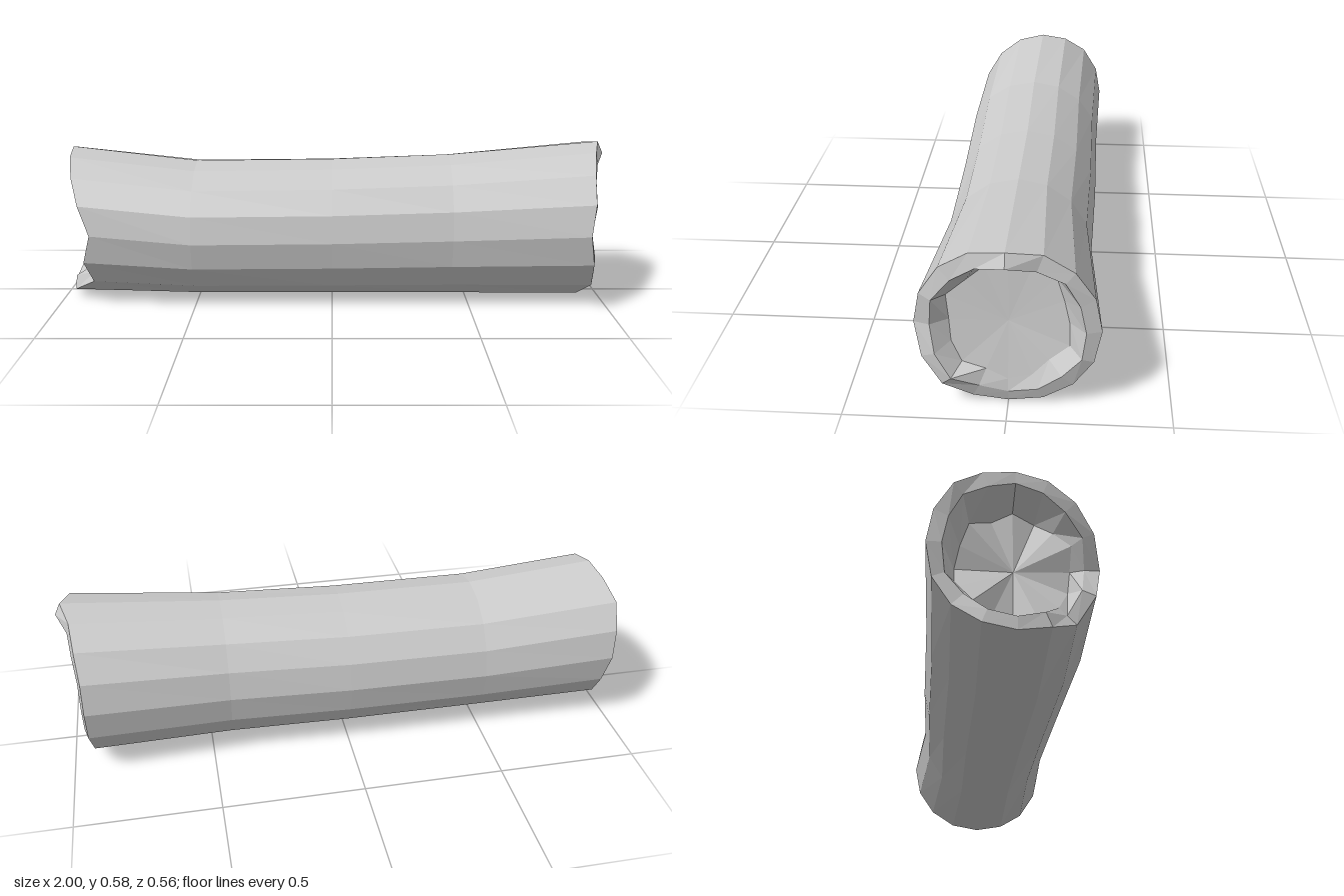
import * as THREE from 'three';

const SIDES = 16;

// One cross-section in the YZ plane; k = 0 is the top, k = 4 is +z. x is a number or one value per side.
function ring(x, bottom, top, back, front) {
  const cy = (bottom + top) / 2, ry = (top - bottom) / 2;
  const cz = (back + front) / 2, rz = (front - back) / 2;
  return Array.from({ length: SIDES }, (_, k) => {
    const a = (k / SIDES) * Math.PI * 2;
    return new THREE.Vector3(Array.isArray(x) ? x[k] : x, cy + ry * Math.cos(a), cz + rz * Math.sin(a));
  });
}

// Copy of a ring scaled about its axis, with its own x positions and a little unevenness
function inset(source, scale, cy, cz, xOf, wobble) {
  return source.map((p, k) => {
    const s = scale + wobble * Math.sin(k * 2.3 + 1);
    return new THREE.Vector3(xOf(p.x, k), cy + (p.y - cy) * s, cz + (p.z - cz) * s);
  });
}

const point = (x, y, z) => Array.from({ length: SIDES }, () => new THREE.Vector3(x, y, z));

// Skin consecutive rings (ordered along the surface) with flat triangles
function skin(name, rings, material) {
  const pos = [];
  const tri = (a, b, c) => {
    if (a.equals(b) || b.equals(c) || a.equals(c)) return;
    for (const p of [a, b, c]) pos.push(p.x, p.y, p.z);
  };
  for (let i = 0; i < rings.length - 1; i++) {
    for (let k = 0; k < SIDES; k++) {
      const n = (k + 1) % SIDES;
      const a = rings[i][k], b = rings[i][n], c = rings[i + 1][n], d = rings[i + 1][k];
      tri(a, b, c);
      tri(a, c, d);
    }
  }
  const geometry = new THREE.BufferGeometry();
  geometry.setAttribute('position', new THREE.Float32BufferAttribute(pos, 3));
  geometry.computeVertexNormals();
  const mesh = new THREE.Mesh(geometry, material);
  mesh.name = name;
  return mesh;
}

export function createModel() {
  const group = new THREE.Group();
  group.name = 'log';
  const material = new THREE.MeshStandardMaterial({ color: 0xcccccc, flatShading: true });

  // Ragged outlines of the two broken ends
  const leftX = [-0.96, -0.95, -0.93, -0.9, -0.86, -0.89, -0.87, -0.96, -0.975, -0.975, -0.96, -0.96, -0.98, -0.99, -1, -0.975];
  const rightX = [0.98, 0.95, 0.93, 0.925, 0.91, 0.93, 0.94, 0.91, 0.9, 0.91, 0.92, 0.93, 0.93, 0.93, 0.94, 0.95];
  const leftEdge = ring(leftX, 0.01, 0.555, -0.28, 0.245);
  const rightEdge = ring(rightX, 0.002, 0.577, -0.28, 0.28);

  // Bark: slightly waisted trunk
  group.add(skin('bark', [
    leftEdge,
    ring(-0.5, 0.004, 0.505, -0.265, 0.26),
    ring(0, 0.002, 0.51, -0.26, 0.25),
    ring(0.43, 0.001, 0.528, -0.247, 0.245),
    rightEdge,
  ], material));

  // Hollowed end at -x: centre, floor, inner lip, outer edge
  const leftLip = inset(leftEdge, 0.83, 0.28, -0.015, (x) => Math.max(x, -0.985), 0.02);
  const leftFloor = inset(leftEdge, 0.68, 0.27, -0.015, (x, k) => -0.86 + 0.02 * Math.sin(k * 1.7), 0.04);
  group.add(skin('hollowEndNegativeX', [point(-0.85, 0.27, -0.015), leftFloor, leftLip, leftEdge], material));

  // Hollowed end at +x, deeper under its upper lip, with the projecting tip
  const rightLip = inset(rightEdge, 0.84, 0.28, 0, (x, k) => (k === 0 ? 1 : x + 0.012), 0.02);
  const rightFloor = inset(rightEdge, 0.67, 0.28, 0,
    (x, k) => 0.885 - 0.02 * Math.cos((k / SIDES) * Math.PI * 2), 0.05);
  group.add(skin('hollowEndPositiveX', [rightEdge, rightLip, rightFloor, point(0.875, 0.28, 0)], material));

  return group;
}
